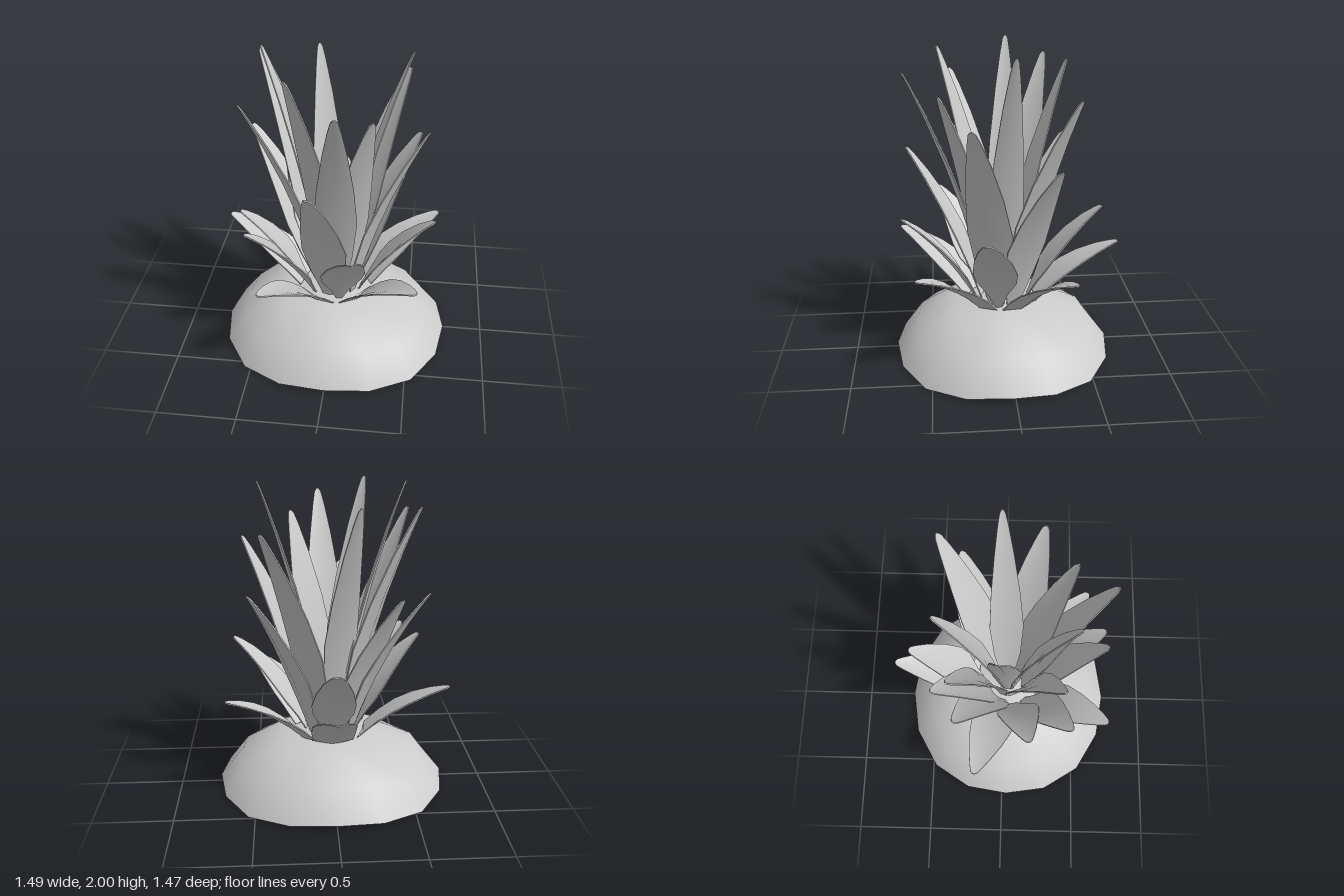
import * as THREE from 'three';
import { toCreasedNormals } from 'three/addons/utils/BufferGeometryUtils.js';

const CENTRE_Z = 0.03;

// Closed solid through equal-sized rings of points, capped at both ends
function loft(rings, crease) {
  const n = rings[0].length;
  const pts = rings.flat();
  const index = [];
  for (let j = 0; j < rings.length - 1; j++) {
    for (let i = 0; i < n; i++) {
      const k = (i + 1) % n;
      const a = j * n + i, b = j * n + k, c = a + n, d = b + n;
      index.push(a, d, b, a, c, d);
    }
  }
  const cap = (ring, start, flip) => {
    const mid = new THREE.Vector3();
    ring.forEach((p) => mid.addScaledVector(p, 1 / n));
    pts.push(mid);
    for (let i = 0; i < n; i++) {
      const a = start + i, b = start + (i + 1) % n;
      index.push(pts.length - 1, flip ? b : a, flip ? a : b);
    }
  };
  cap(rings[0], 0, false);
  cap(rings[rings.length - 1], (rings.length - 1) * n, true);
  const geo = new THREE.BufferGeometry().setFromPoints(pts);
  geo.setIndex(index);
  return toCreasedNormals(geo, crease);
}

// Slightly squarish cap of fruit: each level dips and spreads at its four corners
function domeGeometry() {
  const levels = [ // radius, height, corner spread, corner dip
    [0.002, 0.032, 0, 0],
    [0.742, 0.03, 0.025, 0.03],
    [0.585, 0.23, 0.06, 0.06],
    [0.31, 0.35, 0.1, 0.035],
    [0.002, 0.355, 0, 0],
  ];
  const rings = levels.map(([r, y, spread, dip]) => {
    const ring = [];
    for (let i = 0; i < 16; i++) {
      const a = (i / 16) * Math.PI * 2;
      const corner = (1 - Math.cos(4 * a)) / 2;
      const rr = r + spread * corner;
      ring.push(new THREE.Vector3(rr * Math.cos(a), y - dip * corner, rr * 0.946 * Math.sin(a) + CENTRE_Z));
    }
    return ring;
  });
  return loft(rings, 0.9);
}

// Gutter-shaped leaf, from the crown out to a given tip
function leafGeometry([x, z, tipY], whorl) {
  const { baseR, bendR, bendY, width, shape } = whorl;
  const dz = z - CENTRE_Z;
  const tipR = Math.hypot(x, dz);
  const radial = new THREE.Vector3(x / tipR, 0, dz / tipR);
  const side = new THREE.Vector3(-radial.z, 0, radial.x);
  const baseY = 0.345;
  const curve = new THREE.QuadraticBezierCurve(
    new THREE.Vector2(baseR, baseY),
    new THREE.Vector2(baseR + bendR * (tipR - baseR), baseY + bendY * (tipY - baseY)),
    new THREE.Vector2(tipR, tipY),
  );
  const rings = shape.map(([t, s]) => {
    const p = curve.getPoint(t);
    const tan = curve.getTangent(t);
    const w = (s * width) / 2;
    const lift = w * 0.2;
    const th = 0.004;
    const section = [[-w, lift - th], [0, -th], [w, lift - th], [w, lift + th], [0, th], [-w, lift + th]];
    return section.map(([u, v]) => new THREE.Vector3(0, p.y + v * tan.x, CENTRE_Z)
      .addScaledVector(radial, p.x - v * tan.y)
      .addScaledVector(side, u));
  });
  return loft(rings, 0.7);
}

export function createModel() {
  const model = new THREE.Group();
  const material = new THREE.MeshStandardMaterial({ color: 0xcccccc });

  const dome = new THREE.Mesh(domeGeometry(), material);
  dome.name = 'fruitTop';
  model.add(dome);

  // Width along the leaf, from base to rounded tip
  const upper = [[0.4, 1], [0.6, 0.82], [0.8, 0.53], [0.93, 0.29], [0.985, 0.16], [1, 0.06]];
  const broad = [[0, 0.95], [0.2, 1], ...upper];
  const narrowFoot = [[0, 0.35], [0.2, 0.8], ...upper];
  const pointedFoot = [[0, 0.15], [0.14, 0.45], [0.28, 0.92], ...upper];

  // Whorls from the outside in; tips are x, z, y
  const whorls = [
    {
      name: 'outerLeaves', baseR: 0.22, bendR: 0.42, bendY: 0.66, width: 0.28, shape: broad,
      tips: [[0, -0.735, 0.715], [-0.745, -0.18, 0.715], [-0.39, 0.695, 0.715], [0.54, 0.575, 0.715], [0.665, -0.36, 0.715]],
    },
    {
      name: 'lowerLeaves', baseR: 0.17, bendR: 0.45, bendY: 0.66, width: 0.28, shape: pointedFoot,
      tips: [[0, -0.62, 0.965], [-0.59, 0.17, 0.965], [-0.51, 0.44, 0.965], [0.16, 0.665, 0.965], [0.635, 0.16, 0.965]],
    },
    {
      name: 'middleLeaves', baseR: 0.14, bendR: 0.36, bendY: 0.55, width: 0.29, shape: narrowFoot,
      tips: [[-0.4, -0.42, 1.36], [-0.58, -0.28, 1.36], [-0.1, 0.63, 1.36], [0.52, -0.28, 1.36], [0.565, 0.24, 1.62]],
    },
    {
      name: 'tallLeaves', baseR: 0.1, bendR: 0.3, bendY: 0.52, width: 0.27, shape: narrowFoot,
      tips: [[0.06, 0.63, 1.86], [-0.51, -0.29, 1.88], [-0.52, 0.34, 1.78], [0.43, -0.4, 1.75], [0.25, 0.42, 1.75]],
    },
    {
      name: 'innerLeaves', baseR: 0.05, bendR: 0.3, bendY: 0.52, width: 0.22, shape: narrowFoot,
      tips: [[-0.15, -0.39, 1.89], [-0.45, -0.03, 2], [-0.24, 0.42, 1.97], [0.45, -0.02, 2]],
    },
  ];
  for (const whorl of whorls) {
    const group = new THREE.Group();
    group.name = whorl.name;
    for (const tip of whorl.tips) {
      const leaf = new THREE.Mesh(leafGeometry(tip, whorl), material);
      leaf.name = 'leaf';
      group.add(leaf);
    }
    model.add(group);
  }
  return model;
}
